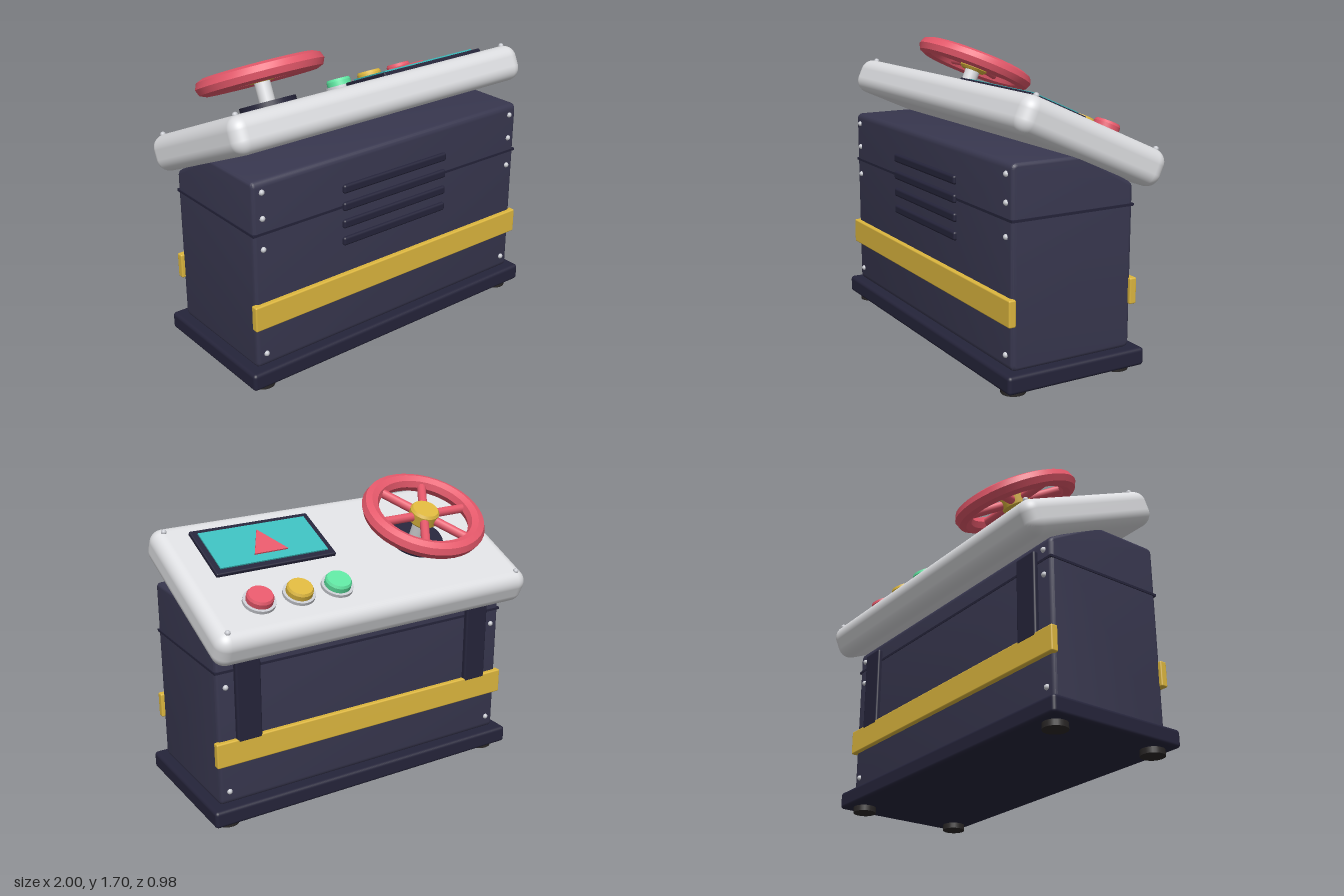
import * as THREE from 'three';
import { toCreasedNormals } from 'three/addons/utils/BufferGeometryUtils.js';
import { RoundedBoxGeometry } from 'three/addons/geometries/RoundedBoxGeometry.js';

const mat = (name, color) => {
  const m = new THREE.MeshStandardMaterial({ color });
  m.name = name;
  return m;
};

export function createModel() {
  const navy = mat('navy', 0x38374f), dark = mat('darkNavy', 0x25243a), rubber = mat('rubber', 0x2a2727);
  const shell = mat('lightGrey', 0xdcdde0), metal = mat('metal', 0xc8cad0), yellow = mat('yellow', 0xdcb63e);
  const red = mat('red', 0xe4586a), green = mat('green', 0x5ee3a0), teal = mat('teal', 0x3cbcbc);

  const model = new THREE.Group();
  model.name = 'controlConsole';

  const add = (parent, name, geo, material, x = 0, y = 0, z = 0) => {
    const mesh = new THREE.Mesh(geo, material);
    mesh.name = name;
    mesh.position.set(x, y, z);
    parent.add(mesh);
    return mesh;
  };
  const rbox = (w, h, d, r) => new RoundedBoxGeometry(w, h, d, 3, r);
  const cyl = (top, bottom, h, n = 32) => new THREE.CylinderGeometry(top, bottom, h, n);
  const stud = new THREE.SphereGeometry(0.016, 12, 8);

  // Plinth and feet
  add(model, 'plinth', rbox(2, 0.1, 0.85, 0.02), dark, 0, 0.083, 0.065);
  for (const x of [-0.885, 0.885])
    for (const z of [-0.255, 0.395]) add(model, 'foot', cyl(0.067, 0.067, 0.036, 24), rubber, x, 0.018, z);

  // Cabinet: side profile with rounded corners and a sloped rear top, extruded across x
  const bevel = 0.02;
  const corners = [[0.42, 0.15], [0.42, 1.19], [0.03, 1.19], [-0.28, 1.02], [-0.28, 0.15]]
    .map(([z, y]) => new THREE.Vector2(z, y));
  const profile = new THREE.Shape();
  corners.forEach((c, i) => {
    const prev = corners[(i + 4) % 5], next = corners[(i + 1) % 5];
    const a = c.clone().add(prev.clone().sub(c).setLength(0.015));
    const b = c.clone().add(next.clone().sub(c).setLength(0.015));
    if (i) profile.lineTo(a.x, a.y); else profile.moveTo(a.x, a.y);
    profile.quadraticCurveTo(c.x, c.y, b.x, b.y);
  });
  profile.closePath();
  const width = 1.88 - 2 * bevel;
  const bodyGeo = new THREE.ExtrudeGeometry(profile, {
    depth: width, bevelEnabled: true, bevelSize: bevel, bevelThickness: bevel, bevelSegments: 3, curveSegments: 4,
  });
  bodyGeo.translate(0, 0, -width / 2).rotateY(-Math.PI / 2);
  add(model, 'cabinet', toCreasedNormals(bodyGeo, 0.6), navy);
  add(model, 'seam', new THREE.BoxGeometry(1.89, 0.014, 0.746), dark, 0, 0.919, 0.07);

  // Trim bands, vents and rear brackets
  for (const z of [0.445, -0.305]) add(model, 'trimBand', rbox(1.92, 0.145, 0.042, 0.008), yellow, 0, 0.448, z);
  for (let i = 0; i < 4; i++) add(model, 'vent', rbox(0.74, 0.05, 0.03, 0.013), dark, 0, 1.022 - i * 0.103, 0.443);
  for (const x of [-0.76, 0.76]) add(model, 'rearBracket', rbox(0.15, 0.49, 0.06, 0.012), dark, x, 0.745, -0.297);

  // Cabinet rivets
  for (const x of [-0.885, 0.885]) {
    for (const y of [0.21, 0.83, 1.005, 1.15]) add(model, 'frontRivet', stud, metal, x, y, 0.44);
    for (const y of [0.21, 0.83, 0.975]) add(model, 'rearRivet', stud, metal, x, y, -0.3);
  }

  // Tilted control deck; everything on it is placed in its own frame
  const deck = new THREE.Group();
  deck.name = 'controlDeck';
  deck.position.set(0, 1.27, -0.033);
  deck.rotation.x = -THREE.MathUtils.degToRad(24);
  model.add(deck);
  const top = 0.103;
  add(deck, 'deckShell', new RoundedBoxGeometry(2, top * 2, 0.965, 6, 0.075), shell);
  for (const x of [-0.93, 0.93])
    for (const z of [-0.41, 0.41]) add(deck, 'deckRivet', stud, metal, x, top, z);

  // Screen with a triangular pointer
  add(deck, 'screenFrame', rbox(0.735, 0.04, 0.373, 0.008), dark, 0.44, top, 0.176);
  add(deck, 'screen', new THREE.BoxGeometry(0.66, 0.008, 0.3), teal, 0.44, top + 0.024, 0.176);
  const tri = new THREE.Shape([[-0.103, 0.095], [0, -0.095], [0.103, 0.095]].map(p => new THREE.Vector2(...p)));
  const triGeo = new THREE.ExtrudeGeometry(tri, { depth: 0.008, bevelEnabled: false }).rotateX(-Math.PI / 2);
  add(deck, 'screenPointer', triGeo, red, 0.44, top + 0.028, 0.176);

  // Push buttons with collars
  const cap = [[0, 0], [0.074, 0], [0.074, 0.028], [0.066, 0.042], [0, 0.042]].map(p => new THREE.Vector2(...p));
  const capGeo = toCreasedNormals(new THREE.LatheGeometry(cap, 32), 0.4);
  [green, yellow, red].forEach((m, i) => {
    const x = 0.2 + i * 0.237;
    add(deck, 'buttonCollar', cyl(0.09, 0.09, 0.036), metal, x, top, -0.247);
    add(deck, 'button', capGeo, m, x, top + 0.018, -0.247);
  });

  // Steering wheel on its column
  const wheel = new THREE.Group();
  wheel.name = 'steeringWheel';
  wheel.position.set(-0.473, 0.287, -0.004);
  deck.add(wheel);
  add(wheel, 'columnBase', cyl(0.16, 0.16, 0.04), dark, 0, top - 0.287 + 0.008, 0);
  add(wheel, 'column', cyl(0.045, 0.045, 0.18, 24), shell, 0, -0.1, 0);
  const rim = new THREE.TorusGeometry(0.313, 0.05, 8, 40).rotateX(Math.PI / 2);
  add(wheel, 'rim', toCreasedNormals(rim, 0.5), red);
  for (let i = 0; i < 6; i++) {
    const a = i * Math.PI / 3;
    const spoke = add(wheel, 'spoke', cyl(0.026, 0.026, 0.25, 12), red, Math.cos(a) * 0.175, 0, Math.sin(a) * 0.175);
    spoke.rotation.set(0, -a, Math.PI / 2);
  }
  const hub = [[0, -0.045], [0.07, -0.045], [0.085, -0.03], [0.085, 0.03], [0.074, 0.045], [0, 0.045]];
  add(wheel, 'hub', toCreasedNormals(new THREE.LatheGeometry(hub.map(p => new THREE.Vector2(...p)), 24), 0.4), yellow);

  return model;
}
